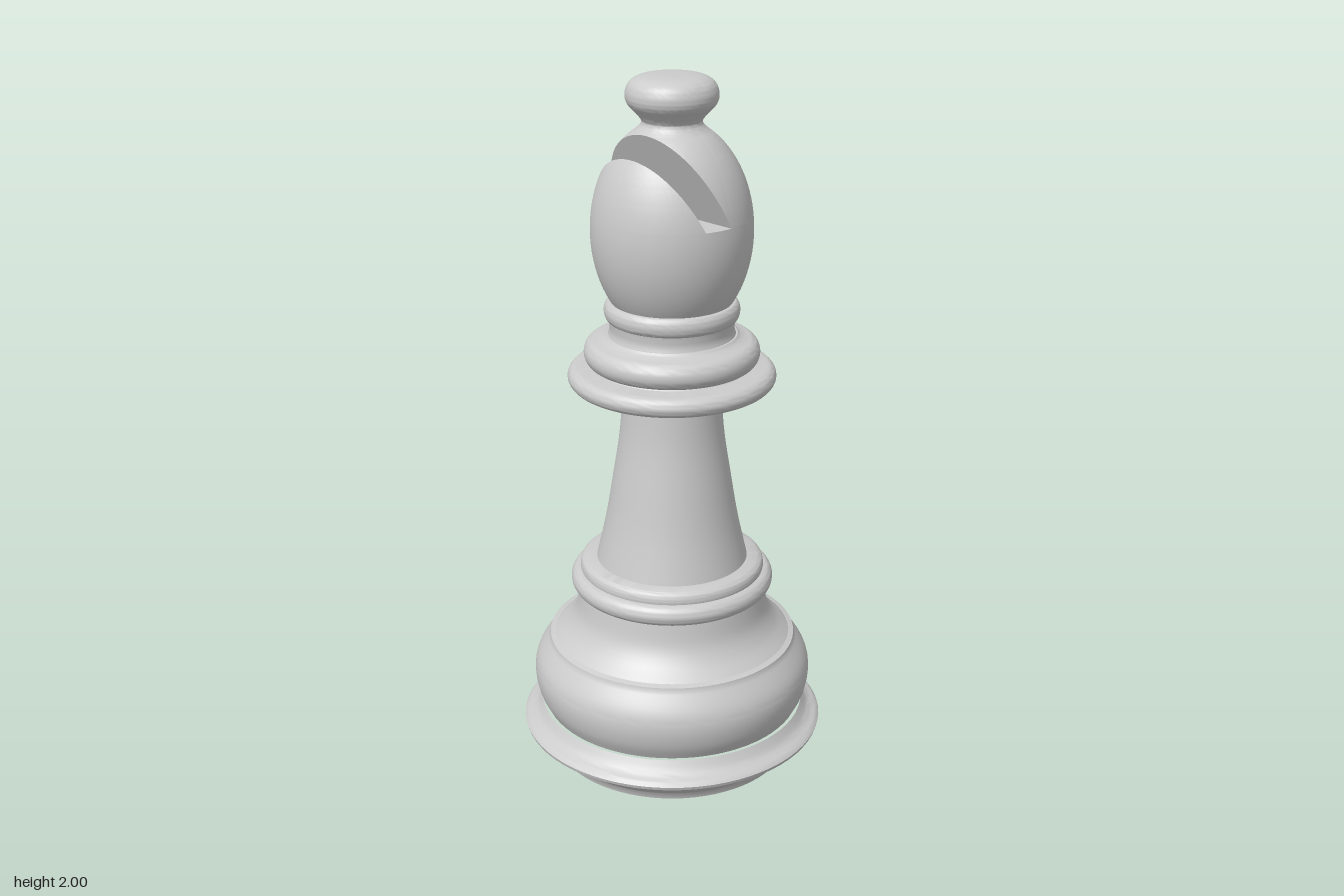
import * as THREE from 'three';
import { toCreasedNormals } from 'three/addons/utils/BufferGeometryUtils.js';

const material = new THREE.MeshStandardMaterial({ color: 0xcccccc });
const SEGMENTS = 72;

// Egg-shaped head and the slanted slot cut into its front
const EGG_Y = 1.58, EGG_R = 0.222, EGG_H = 0.305;
const SLOT_Y = 1.625, SLOT_WIDTH = 0.08, SLOT_SLOPE = 0.445;
const eggRadius = (y) => EGG_R * Math.sqrt(Math.max(0, 1 - ((y - EGG_Y) / EGG_H) ** 2));
const slotBack = (y) => SLOT_SLOPE * (y - SLOT_Y);
const slotFront = (y) => slotBack(y) + SLOT_WIDTH;

// Height at which a slot wall leaves the egg
function exitHeight(wall) {
  let lo = SLOT_Y, hi = EGG_Y + EGG_H;
  for (let i = 0; i < 40; i++) {
    const mid = (lo + hi) / 2;
    if (wall(mid) < eggRadius(mid)) lo = mid; else hi = mid;
  }
  return lo;
}

// Smooth run through [radius, y] points
function curve(points, n = 16) {
  return new THREE.SplineCurve(points.map(([r, y]) => new THREE.Vector2(r, y))).getPoints(n);
}

// Rounded rim: half ellipse bulging from radius r out to rMax
function rim(r, rMax, y0, y1, n = 14) {
  return Array.from({ length: n + 1 }, (_, i) => {
    const a = -Math.PI / 2 + (Math.PI * i) / n;
    return new THREE.Vector2(r + (rMax - r) * Math.cos(a), (y0 + y1) / 2 + ((y1 - y0) / 2) * Math.sin(a));
  });
}

const at = (r, y) => [new THREE.Vector2(r, y)];

function addMesh(group, name, geometry) {
  const mesh = new THREE.Mesh(toCreasedNormals(geometry, 0.55), material);
  mesh.name = name;
  group.add(mesh);
}

function turned(group, name, ...runs) {
  addMesh(group, name, new THREE.LatheGeometry(runs.flat(), SEGMENTS));
}

// Part of the egg on one side of a slot wall: an arc plus its chord at each height
function eggSlice(wall, isFront, rows = 28, cols = 64) {
  const top = exitHeight(wall), pos = [], index = [], w = cols + 1;
  for (let i = 0; i <= rows; i++) {
    const y = SLOT_Y + (top - SLOT_Y) * Math.sin((i / rows) * Math.PI / 2);
    const r = eggRadius(y);
    const t = Math.acos(Math.min(1, wall(y) / r));
    const [from, to] = isFront ? [-t, t] : [t, 2 * Math.PI - t];
    for (let j = 0; j <= cols; j++) {
      const a = from + ((to - from) * j) / cols;
      pos.push(r * Math.sin(a), y, r * Math.cos(a));
    }
  }
  for (let i = 0; i < rows; i++) {
    for (let j = 0; j < w; j++) {
      const a = i * w + j, b = i * w + ((j + 1) % w);
      index.push(a, b, b + w, a, b + w, a + w);
    }
  }
  const geometry = new THREE.BufferGeometry();
  geometry.setAttribute('position', new THREE.Float32BufferAttribute(pos, 3));
  geometry.setIndex(index);
  return geometry;
}

export function createModel() {
  const group = new THREE.Group();
  group.name = 'chessBishop';

  // Foot with a flared lip
  turned(group, 'foot', at(0, 0), at(0.35, 0), at(0.355, 0.02),
    curve([[0.36, 0.025], [0.395, 0.055], [0.437, 0.085]], 8), at(0.44, 0.095),
    curve([[0.432, 0.105], [0.405, 0.12], [0.385, 0.15]], 8));

  // Bulging base
  turned(group, 'baseBulge',
    curve([[0.375, 0.15], [0.396, 0.195], [0.405, 0.25], [0.395, 0.3], [0.36, 0.355]], 20),
    at(0.358, 0.365), at(0.343, 0.37));

  // Concave shoulder
  turned(group, 'baseShoulder',
    curve([[0.343, 0.368], [0.305, 0.405], [0.28, 0.45], [0.268, 0.515]], 16));

  // Rings under the column
  turned(group, 'lowerRing', at(0.2, 0.515), rim(0.265, 0.292, 0.515, 0.575), at(0.2, 0.575));
  turned(group, 'lowerStep', at(0.262, 0.57), curve([[0.265, 0.58], [0.262, 0.598], [0.25, 0.608]], 8), at(0.2, 0.61));

  // Tapered column
  turned(group, 'column',
    curve([[0.218, 0.605], [0.19, 0.73], [0.168, 0.86], [0.147, 1.0], [0.137, 1.145]], 24));

  // Collar discs
  turned(group, 'wideCollar', at(0.1, 1.137), rim(0.262, 0.291, 1.137, 1.193), at(0.1, 1.193));
  turned(group, 'upperCollar', at(0.22, 1.19), rim(0.212, 0.245, 1.197, 1.272),
    curve([[0.205, 1.274], [0.19, 1.28], [0.182, 1.287]], 6), at(0.1, 1.287));

  // Neck rings below the head
  turned(group, 'neck', curve([[0.178, 1.283], [0.173, 1.3], [0.174, 1.32], [0.176, 1.335]], 8));
  turned(group, 'neckRing', at(0.15, 1.328), rim(0.172, 0.188, 1.328, 1.382), at(0.15, 1.382));

  // Head: whole egg up to the slot floor, then the halves either side of the slot
  const lowerEgg = Array.from({ length: 21 }, (_, i) => {
    const y = 1.37 + ((SLOT_Y - 1.37) * i) / 20;
    return new THREE.Vector2(eggRadius(y), y);
  });
  turned(group, 'headLower', lowerEgg, at(0, SLOT_Y));
  addMesh(group, 'headBack', eggSlice(slotBack, false));
  addMesh(group, 'headFront', eggSlice(slotFront, true));

  // Finial knob
  const top = exitHeight(slotBack);
  turned(group, 'finial',
    curve([[eggRadius(top), top], [0.086, 1.866], [0.082, 1.88], [0.1, 1.902], [0.12, 1.925],
      [0.125, 1.95], [0.115, 1.977], [0.09, 1.993], [0.05, 1.999], [0, 2]], 40));

  return group;
}
